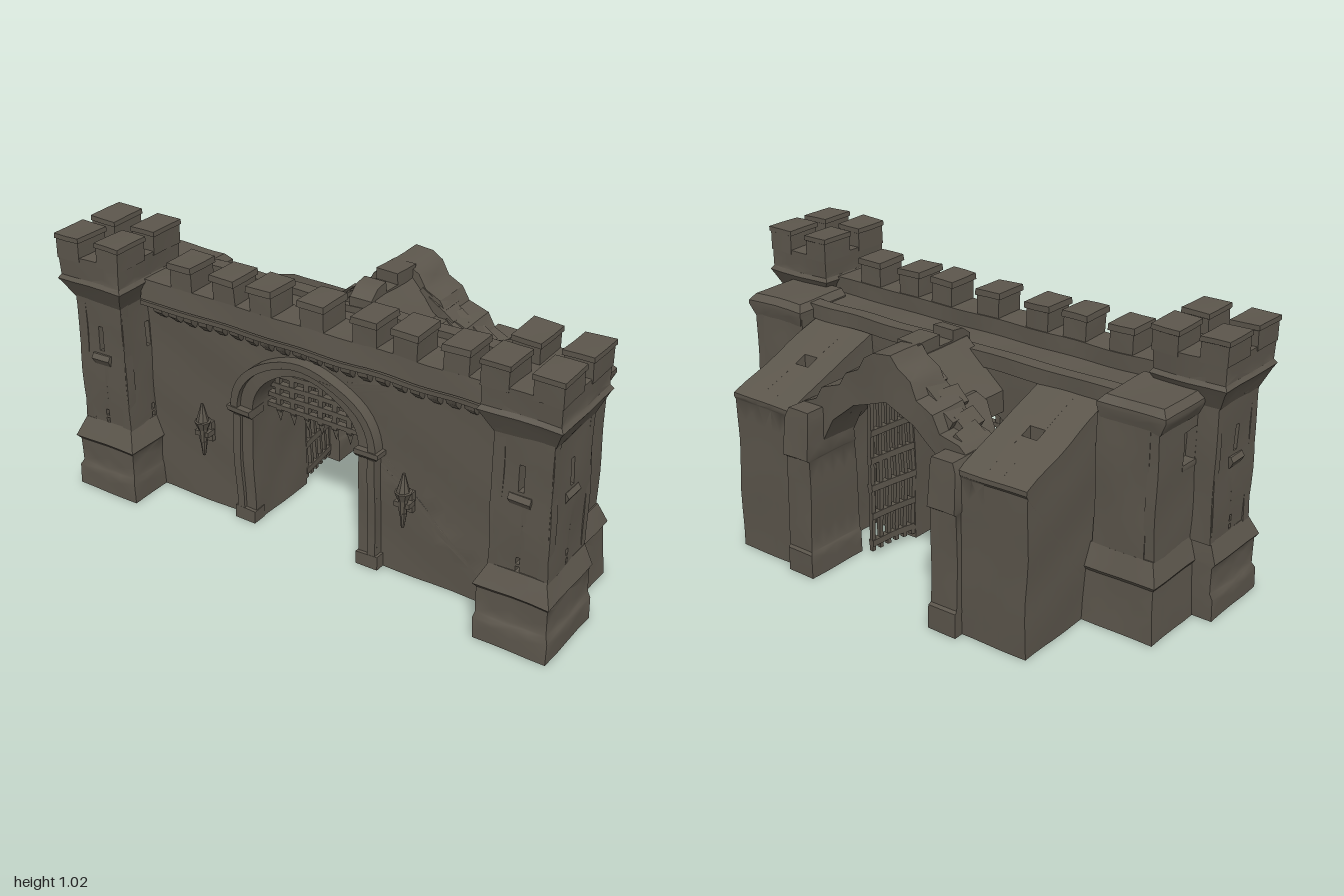
import * as THREE from 'three';
import { toCreasedNormals } from 'three/addons/utils/BufferGeometryUtils.js';

const stone = new THREE.MeshStandardMaterial({ color: 0x5c564c });
stone.name = 'weathered stone';

// Halve long edges, then bulge the surface slightly so the masonry looks worn
function weather(geo) {
  const p = (geo.index ? geo.toNonIndexed() : geo).getAttribute('position');
  const stack = [], out = [];
  for (let i = 0; i < p.count; i += 3) stack.push([0, 1, 2].map((k) => new THREE.Vector3().fromBufferAttribute(p, i + k)));
  while (stack.length) {
    const t = stack.pop();
    const len = [0, 1, 2].map((k) => t[k].distanceTo(t[(k + 1) % 3]));
    const longest = Math.max(...len);
    if (longest > 0.09) {
      const k = len.indexOf(longest), a = t[k], b = t[(k + 1) % 3], c = t[(k + 2) % 3];
      const m = a.clone().add(b).multiplyScalar(0.5);
      stack.push([a, m, c], [m, b, c]);
    } else {
      for (const { x, y, z } of t) {
        out.push(x + 0.003 * Math.sin(17 * y + 11 * z) * Math.cos(13 * z + 5 * x),
          y + 0.002 * Math.sin(19 * x + 9 * z) * (y > 0.01 ? 1 : 0),
          z + 0.004 * Math.sin(15 * x + 4 * y) * Math.cos(14 * y - 6 * x));
      }
    }
  }
  const g = new THREE.BufferGeometry();
  g.setAttribute('position', new THREE.Float32BufferAttribute(out, 3));
  return toCreasedNormals(g, 0.6);
}

export function createModel() {
  const root = new THREE.Group();
  root.name = 'castleGatehouse';

  const add = (name, geo, parent = root) => {
    const m = new THREE.Mesh(weather(geo), stone);
    m.name = name;
    parent.add(m);
    return m;
  };
  // Stacked rectangular sections: [y, x0, x1, z0, z1], bottom to top
  const loft = (name, sections, parent) => {
    const pos = [], idx = [], t = (sections.length - 1) * 4;
    for (const [y, xa, xb, z0, z1] of sections) {
      const x0 = Math.min(xa, xb), x1 = Math.max(xa, xb);
      pos.push(x0, y, z1, x1, y, z1, x1, y, z0, x0, y, z0);
    }
    for (let i = 0; i < t; i += 4) {
      for (let k = 0; k < 4; k++) {
        const a = i + k, b = i + (k + 1) % 4;
        idx.push(a, b, b + 4, a, b + 4, a + 4);
      }
    }
    idx.push(t, t + 1, t + 2, t, t + 2, t + 3, 0, 2, 1, 0, 3, 2);
    const g = new THREE.BufferGeometry();
    g.setAttribute('position', new THREE.Float32BufferAttribute(pos, 3));
    g.setIndex(idx);
    return add(name, g, parent);
  };
  const box = (name, x0, x1, y0, y1, z0, z1, parent) => loft(name, [[y0, x0, x1, z0, z1], [y1, x0, x1, z0, z1]], parent);
  const shapeOf = (pts) => new THREE.Shape(pts.map(([x, y]) => new THREE.Vector2(x, y)));
  const extrude = (name, shape, z0, z1, parent) => {
    const g = new THREE.ExtrudeGeometry(shape, { depth: z1 - z0, bevelEnabled: false });
    g.translate(0, 0, z0);
    return add(name, g, parent);
  };
  // Extrude a (z, y) profile sideways from x0 to x1
  const sideExtrude = (name, pts, x0, x1, parent) => {
    const m = extrude(name, shapeOf(pts.map(([z, y]) => [-z, y])), Math.min(x0, x1), Math.max(x0, x1), parent);
    m.rotation.y = Math.PI / 2;
    return m;
  };
  // Wall panel with rectangular holes [u0, u1, y0, y1]
  const panel = (name, u0, u1, y0, y1, depth, holes, parent) => {
    const s = shapeOf([[u0, y0], [u1, y0], [u1, y1], [u0, y1]]);
    for (const [a, b, c, d] of holes) s.holes.push(shapeOf([[a, c], [a, d], [b, d], [b, c]]));
    return extrude(name, s, 0, depth, parent);
  };
  // Arched outline, centred on the gate
  const GX = -0.05;
  const arch = (rx, ry, spring, foot = 0) => {
    const pts = [[GX - rx, foot]];
    for (let i = 0; i <= 24; i++) {
      const a = Math.PI * (1 - i / 24);
      pts.push([GX + rx * Math.cos(a), spring + ry * Math.sin(a)]);
    }
    pts.push([GX + rx, foot]);
    return pts;
  };

  // Main wall with the gateway cut through it
  extrude('mainWall', shapeOf([[-0.75, 0], ...arch(0.225, 0.2, 0.45), [0.75, 0], [0.75, 0.8], [-0.75, 0.8]]), 0, 0.29);
  loft('parapet', [[0.765, -0.73, 0.73, 0.2, 0.3], [0.785, -0.73, 0.73, 0.2, 0.34], [0.86, -0.73, 0.73, 0.2, 0.33]]);
  box('wallString', -0.73, 0.73, 0.765, 0.782, 0.28, 0.345);
  box('rearKerb', -0.72, 0.72, 0.77, 0.825, -0.01, 0.045);
  for (const x of [-0.555, -0.365, -0.21, 0, 0.21, 0.365, 0.555]) {
    loft('merlon', [[0.85, x - 0.046, x + 0.046, 0.205, 0.33], [0.93, x - 0.046, x + 0.046, 0.205, 0.33],
      [0.932, x - 0.053, x + 0.053, 0.2, 0.34], [0.955, x - 0.051, x + 0.051, 0.2, 0.338]]);
  }
  for (let i = 0; i < 21; i++) {
    const x = -0.67 + i * 0.067;
    loft('corbel', [[0.715, x - 0.013, x + 0.013, 0.28, 0.3], [0.74, x - 0.018, x + 0.018, 0.28, 0.325], [0.77, x - 0.02, x + 0.02, 0.28, 0.33]]);
  }

  // Gate surround
  extrude('gateSurround', shapeOf([...arch(0.3, 0.255, 0.45), ...arch(0.225, 0.2, 0.45).reverse()]), 0.28, 0.315);
  extrude('archMoulding', shapeOf([...arch(0.308, 0.262, 0.45, 0.45), ...arch(0.278, 0.235, 0.45, 0.45).reverse()]), 0.29, 0.335);
  for (const s of [-1, 1]) {
    const a = GX + s * 0.222, b = GX + s * 0.32;
    loft('impost', [[0.435, a, b - s * 0.015, 0.25, 0.325], [0.45, a, b, 0.25, 0.34], [0.468, a, b, 0.25, 0.34]]);
    box('jambFoot', a, b - s * 0.01, 0, 0.05, 0.27, 0.328);
    box('jambColumn', GX + s * 0.27, GX + s * 0.3, 0.05, 0.435, 0.29, 0.328);
  }

  // Portcullis, raised in the arch
  const portcullis = new THREE.Group();
  portcullis.name = 'portcullis';
  root.add(portcullis);
  for (let i = -3; i <= 3; i++) {
    const dx = i * 0.06, top = 0.46 + 0.2 * Math.sqrt(1 - (dx / 0.225) ** 2);
    box('uprightBar', GX + dx - 0.01, GX + dx + 0.01, 0.43, top, 0.2, 0.22, portcullis);
    const tip = add('spike', new THREE.ConeGeometry(0.016, 0.05, 4), portcullis);
    tip.rotation.x = Math.PI;
    tip.position.set(GX + dx, 0.41, 0.21);
  }
  for (let y = 0.45; y < 0.63; y += 0.043) {
    const w = 0.23 * Math.sqrt(1 - ((y - 0.45) / 0.205) ** 2);
    box('crossBar', GX - w, GX + w, y - 0.009, y + 0.009, 0.198, 0.222, portcullis);
  }

  // Open lattice gate leaves behind the gateway
  for (const s of [-1, 1]) {
    const leaf = new THREE.Group();
    leaf.name = 'gateLeaf';
    leaf.position.set(GX + s * 0.235, 0, 0);
    leaf.rotation.y = Math.PI / 2 - s * 0.15;
    root.add(leaf);
    for (let i = 0; i < 6; i++) box('leafUpright', i * 0.038, i * 0.038 + 0.016, 0.02, 0.62 - (5 - i) ** 2 * 0.004, -0.008, 0.008, leaf);
    for (let j = 0; j < 5; j++) box('leafRail', 0, 0.206, 0.04 + j * 0.11, 0.065 + j * 0.11, -0.012, 0.012, leaf);
  }

  for (const s of [-1, 1]) {
    // Corner tower
    const tower = new THREE.Group();
    tower.name = s > 0 ? 'leftTower' : 'rightTower';
    root.add(tower);
    loft('towerBase', [[0, s * 0.72, s * 0.99, 0.16, 0.465], [0.08, s * 0.72, s * 0.99, 0.16, 0.462], [0.1, s * 0.725, s * 0.98, 0.16, 0.452],
      [0.195, s * 0.725, s * 0.98, 0.16, 0.452], [0.21, s * 0.715, s * 0.99, 0.16, 0.465], [0.285, s * 0.75, s * 0.96, 0.17, 0.43]], tower);
    const slits = (c) => [[c - 0.01, c + 0.01, 0.58, 0.675], [c - 0.007, c + 0.007, 0.285, 0.305], [c - 0.007, c + 0.007, 0.315, 0.34]];
    panel('shaftFront', -0.105, 0.105, 0.28, 0.8, 0.04, slits(0), tower).position.set(s * 0.855, 0, 0.39);
    panel('shaftBack', -0.105, 0.105, 0.28, 0.8, 0.03, [], tower).position.set(s * 0.855, 0, 0.165);
    for (const x of [0.75, 0.92]) {
      const p = panel('shaftSide', -0.43, -0.17, 0.28, 0.8, 0.04, slits(-0.3), tower);
      p.rotation.y = Math.PI / 2;
      p.position.x = s > 0 ? x : -x - 0.04;
    }
    // Sills below the arrow slits
    loft('slitSill', [[0.525, s * 0.82, s * 0.89, 0.42, 0.43], [0.55, s * 0.815, s * 0.895, 0.42, 0.445], [0.568, s * 0.815, s * 0.895, 0.42, 0.435]], tower);
    loft('slitSill', [[0.525, s * 0.95, s * 0.96, 0.265, 0.335], [0.55, s * 0.95, s * 0.975, 0.26, 0.34], [0.568, s * 0.95, s * 0.965, 0.26, 0.34]], tower);
    // Flared, crenellated head
    loft('towerHead', [[0.77, s * 0.75, s * 0.96, 0.17, 0.43], [0.835, s * 0.72, s * 0.99, 0.138, 0.462], [0.85, s * 0.71, s, 0.13, 0.47],
      [0.865, s * 0.72, s * 0.99, 0.14, 0.46], [0.945, s * 0.718, s * 0.992, 0.137, 0.463]], tower);
    for (const [x0, x1] of [[0.715, 0.815], [0.895, 0.995]]) {
      for (const [z0, z1] of [[0.135, 0.278], [0.328, 0.465]]) {
        loft('towerMerlon', [[0.93, s * x0, s * x1, z0, z1], [1.0, s * x0, s * x1, z0, z1],
          [1.002, s * (x0 - 0.005), s * (x1 + 0.005), z0 - 0.004, z1 + 0.004], [1.02, s * (x0 - 0.004), s * (x1 + 0.004), z0 - 0.004, z1 + 0.004]], tower);
      }
    }
    for (let i = 0; i < 4; i++) {
      const u = -0.085 + i * 0.057, x = s * 0.855 + u, z = 0.3 + u;
      loft('towerCorbel', [[0.78, x - 0.012, x + 0.012, 0.41, 0.435], [0.835, x - 0.015, x + 0.015, 0.41, 0.46]], tower);
      loft('towerCorbel', [[0.78, s * 0.94, s * 0.965, z - 0.012, z + 0.012], [0.835, s * 0.94, s * 0.985, z - 0.015, z + 0.015]], tower);
    }

    // Lower turret behind the tower
    const turret = new THREE.Group();
    turret.name = s > 0 ? 'leftRearTurret' : 'rightRearTurret';
    root.add(turret);
    loft('turretBase', [[0, s * 0.63, s * 0.915, -0.1, 0.18], [0.195, s * 0.63, s * 0.905, -0.09, 0.18], [0.21, s * 0.63, s * 0.915, -0.1, 0.18],
      [0.29, s * 0.63, s * 0.885, -0.07, 0.18]], turret);
    box('turretCore', s * 0.65, s * 0.85, 0.28, 0.8, -0.07, 0.18, turret);
    const face = panel('turretFace', -0.18, 0.07, 0.28, 0.78, 0.04, [[-0.16, -0.08, 0.58, 0.7]], turret);
    face.rotation.y = Math.PI / 2;
    face.position.x = s > 0 ? 0.845 : -0.885;
    loft('turretCap', [[0.74, s * 0.66, s * 0.885, -0.068, 0.17], [0.79, s * 0.65, s * 0.91, -0.08, 0.17], [0.805, s * 0.65, s * 0.91, -0.08, 0.17],
      [0.83, s * 0.67, s * 0.89, -0.06, 0.17]], turret);
    loft('windowSill', [[0.55, s * 0.87, s * 0.885, 0.08, 0.16], [0.565, s * 0.87, s * 0.892, 0.075, 0.165], [0.58, s * 0.87, s * 0.89, 0.075, 0.165]], turret);

    // Rear guard room with a sloping roof and a small smoke hole
    const room = new THREE.Group();
    room.name = s > 0 ? 'leftGuardRoom' : 'rightGuardRoom';
    root.add(room);
    const solid = [[0.02, 0], [-0.43, 0], [-0.43, 0.585], [-0.437, 0.595], [-0.437, 0.612], [0.02, 0.78]];
    const notch = [...solid.slice(0, 5), [-0.235, 0.686], [-0.235, 0.6], [-0.185, 0.6], [-0.185, 0.705], [0.02, 0.78]];
    sideExtrude('roomInner', solid, s * 0.37, s * 0.47, room);
    sideExtrude('roomMiddle', notch, s * 0.47, s * 0.53, room);
    sideExtrude('roomOuter', solid, s * 0.53, s * 0.64, room);

    // Rear arch pier with a broken rib leaning in towards the vault
    loft('rearPier', [[0, s * 0.265, s * 0.38, -0.465, -0.2], [0.09, s * 0.265, s * 0.38, -0.463, -0.2], [0.1, s * 0.27, s * 0.38, -0.455, -0.2],
      [0.45, s * 0.27, s * 0.375, -0.455, -0.22], [0.46, s * 0.265, s * 0.38, -0.47, -0.22], [0.6, s * 0.265, s * 0.375, -0.46, -0.24], [0.635, s * 0.27, s * 0.36, -0.455, -0.26]]);
    loft('brokenRib', [[0.55, s * 0.25, s * 0.34, -0.3, -0.2], [0.63, s * 0.2, s * 0.3, -0.28, -0.15], [0.7, s * 0.15, s * 0.23, -0.26, -0.1], [0.73, s * 0.13, s * 0.2, -0.25, -0.12]]);

    // Wall torch
    const torch = new THREE.Group();
    torch.name = 'wallTorch';
    torch.position.set(GX - 0.012 + s * 0.427, 0, 0.33);
    root.add(torch);
    box('bracket', -0.024, 0.024, 0.27, 0.35, -0.045, -0.02, torch);
    box('bracketArm', -0.03, 0.03, 0.3, 0.32, -0.03, 0.01, torch);
    const part = (name, r0, r1, h, y) => { add(name, new THREE.CylinderGeometry(r0, r1, h, 8), torch).position.y = y; };
    part('torchTail', 0.014, 0.006, 0.06, 0.25);
    part('torchHandle', 0.018, 0.014, 0.06, 0.305);
    part('torchCup', 0.033, 0.018, 0.035, 0.345);
    part('torchFlame', 0.005, 0.026, 0.075, 0.395);
  }

  // Broken rear gable with a pointed arch below
  const gable = shapeOf([[-0.37, 0.5], [-0.27, 0.5], [-0.23, 0.6], [-0.14, 0.68], [-0.02, 0.73], [0.13, 0.68], [0.22, 0.6], [0.27, 0.5], [0.37, 0.5],
    [0.37, 0.63], [0.3, 0.66], [0.27, 0.71], [0.19, 0.74], [0.16, 0.79], [0.1, 0.82], [0.07, 0.87], [0.03, 0.895], [-0.04, 0.9],
    [-0.07, 0.86], [-0.12, 0.83], [-0.15, 0.77], [-0.22, 0.74], [-0.25, 0.68], [-0.33, 0.66], [-0.37, 0.62]]);
  extrude('rearGable', gable, -0.38, -0.22);
  // Vaulting still joining gable and wall
  const vault = shapeOf([[-0.22, 0.62], [-0.12, 0.69], [-0.02, 0.73], [0.1, 0.69], [0.17, 0.63], [0.18, 0.69], [0.1, 0.79], [0.04, 0.855], [-0.05, 0.855], [-0.12, 0.79], [-0.22, 0.7]]);
  extrude('vault', vault, -0.24, 0.02);
  sideExtrude('ridgeCrest', [[0.045, 0.8], [-0.24, 0.8], [-0.24, 0.9], [-0.125, 0.9], [-0.125, 0.858], [-0.055, 0.858], [-0.055, 0.895], [0, 0.89], [0.045, 0.86]], -0.045, 0.045);

  // Loose stones along the broken gable
  let seed = 7;
  const rnd = () => (seed = (seed * 16807) % 2147483647) / 2147483647;
  for (let i = 0; i < 16; i++) {
    const x = -0.3 + i * 0.04;
    const m = add('looseStone', new THREE.BoxGeometry(0.06 + rnd() * 0.02, 0.035, 0.08 + rnd() * 0.04));
    m.position.set(x, 0.86 - Math.abs(x) * 0.68, -0.32 + rnd() * 0.09);
    m.rotation.set(rnd() * 0.2 - 0.1, rnd() * 0.3 - 0.15, (x > 0 ? -0.6 : 0.6) + rnd() * 0.2 - 0.1);
  }
  return root;
}
